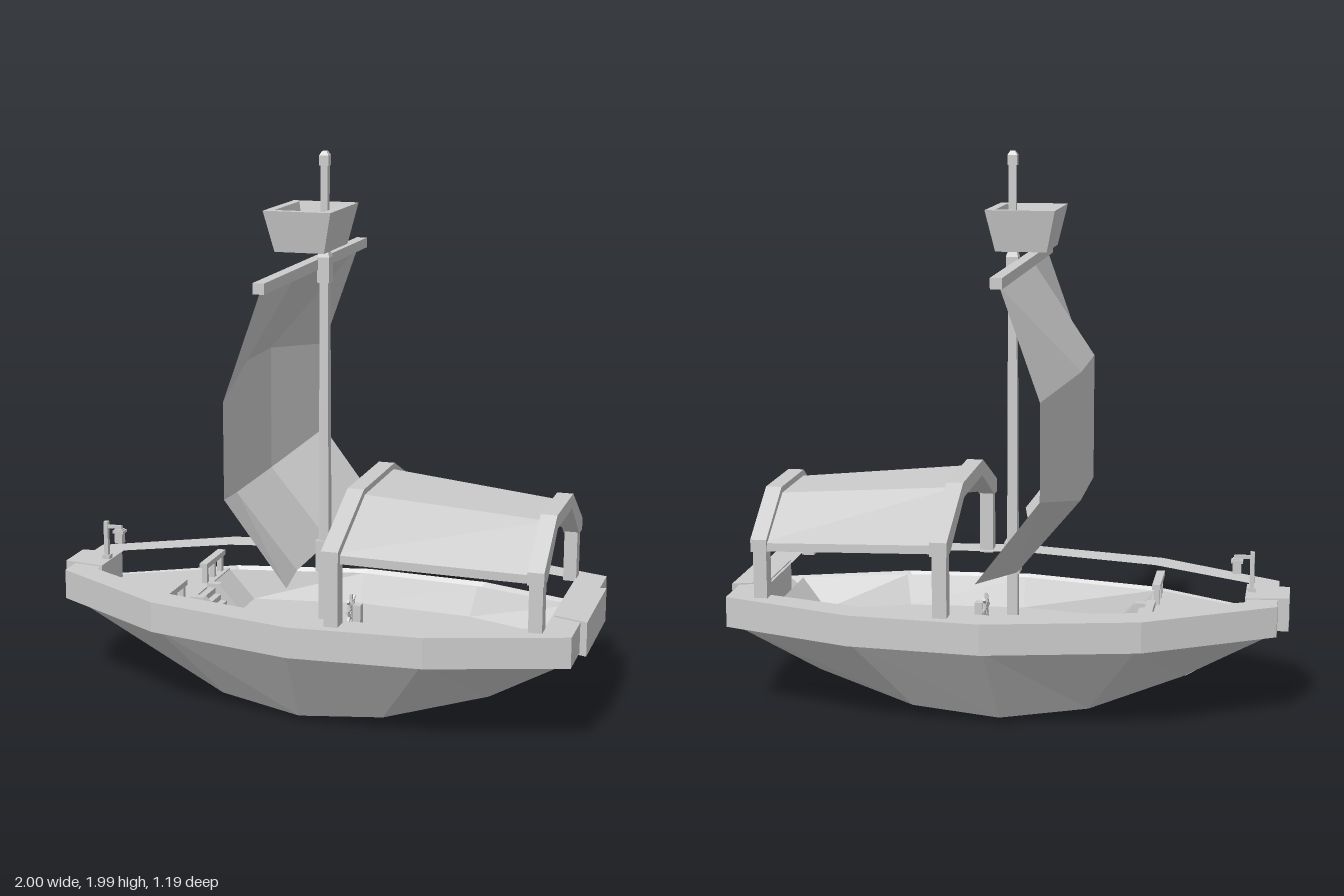
import * as THREE from 'three';

const grey = new THREE.MeshStandardMaterial({ color: 0xcccccc, flatShading: true });
const thin = new THREE.MeshStandardMaterial({ color: 0xcccccc, flatShading: true, side: THREE.DoubleSide });

function add(parent, name, geometry, material = grey) {
  const mesh = new THREE.Mesh(geometry, material);
  mesh.name = name;
  parent.add(mesh);
  return mesh;
}

// Box given by its limits on each axis
function box(parent, name, [x0, x1], [y0, y1], [z0, z1]) {
  const mesh = add(parent, name, new THREE.BoxGeometry(x1 - x0, y1 - y0, z1 - z0));
  mesh.position.set((x0 + x1) / 2, (y0 + y1) / 2, (z0 + z1) / 2);
  return mesh;
}

// Surface joining rows of [x, y, z] points
function loft(rows) {
  const out = [];
  for (let i = 0; i + 1 < rows.length; i++) {
    for (let j = 0; j + 1 < rows[i].length; j++) {
      const a = rows[i][j], b = rows[i + 1][j], c = rows[i + 1][j + 1], d = rows[i][j + 1];
      out.push(...a, ...b, ...c, ...a, ...c, ...d);
    }
  }
  const g = new THREE.BufferGeometry();
  g.setAttribute('position', new THREE.Float32BufferAttribute(out, 3));
  g.computeVertexNormals();
  return g;
}

// Mirror a half outline [along, half width] into a closed loop
const mirrorLoop = half => [...half, ...half.slice().reverse().map(([a, w]) => [a, -w])];
const toShape = pts => new THREE.Shape(pts.map(([a, b]) => new THREE.Vector2(a, b)));

// Plan outline in x and z raised from y0 to y1
function slab(half, y0, y1, holeHalf) {
  const shape = toShape(mirrorLoop(half));
  if (holeHalf) shape.holes.push(toShape(mirrorLoop(holeHalf)));
  return new THREE.ExtrudeGeometry(shape, { depth: y1 - y0, bevelEnabled: false })
    .rotateX(-Math.PI / 2).translate(0, y0, 0);
}

function buildHull(boat) {
  // Cross-sections: top x, top half width, bottom x, bottom y, bottom half width
  const sections = [
    [-0.94, 0.15, -0.63, 0.14, 0.11], [-0.49, 0.41, -0.31, 0.05, 0.25],
    [0.02, 0.52, 0, 0.02, 0.31], [0.49, 0.49, 0.31, 0.05, 0.31], [0.94, 0.34, 0.67, 0.14, 0.23],
  ];
  const rows = sections.map(([tx, tw, bx, by, bw]) =>
    [[tx, 0.32, tw], [bx, by, bw], [bx, by, -bw], [tx, 0.32, -tw]]);
  const endRow = ([tx, tw]) => [[tx, 0.32, tw], [tx, 0.32, tw], [tx, 0.32, -tw], [tx, 0.32, -tw]];
  add(boat, 'hull', loft([endRow(sections[0]), ...rows, endRow(sections[4])]), thin);

  // Keel strip under the hull
  const keel = toShape([[-0.96, 0.32], [-0.64, 0.13], [-0.31, 0.038], [0, 0], [0.31, 0.038], [0.68, 0.13],
    [0.95, 0.32], [0.9, 0.32], [0.66, 0.16], [0.3, 0.07], [0, 0.04], [-0.3, 0.07], [-0.62, 0.16], [-0.9, 0.32]]);
  add(boat, 'keel', new THREE.ExtrudeGeometry(keel, { depth: 0.13, bevelEnabled: false }).translate(0, 0, -0.065));

  // Broad rail with bow and stern blocks
  const inner = [[-0.85, 0.125], [-0.49, 0.32], [0.02, 0.43], [0.48, 0.4], [0.87, 0.29]];
  add(boat, 'rail', slab([[-0.96, 0.17], [-0.51, 0.43], [0.03, 0.543], [0.5, 0.51], [0.975, 0.355]], 0.32, 0.43, inner));
  add(boat, 'bowBlock', slab([[-1, 0.075], [-0.845, 0.095]], 0.315, 0.435));
  add(boat, 'sternBlock', slab([[0.88, 0.16], [1, 0.2]], 0.312, 0.435));

  // Raised foredeck and the sunken main deck with sloping walls
  add(boat, 'foredeck', slab(inner.slice(0, 2), 0.32, 0.335));
  const top = [[-0.49, 0.32], [0.02, 0.43], [0.48, 0.4], [0.87, 0.29]];
  const floor = [[-0.39, 0.32], [0.02, 0.39], [0.46, 0.36], [0.77, 0.25]];
  const well = top.map(([x, w], i) => {
    const [fx, fw] = floor[i];
    return [[x, 0.33, w], [fx, 0.22, fw], [fx, 0.22, -fw], [x, 0.33, -w]];
  });
  const close = ([x, w]) => [[x, 0.33, w], [x, 0.33, w], [x, 0.33, -w], [x, 0.33, -w]];
  add(boat, 'mainDeck', loft([close(top[0]), ...well, close(top[3])]), thin);
}

function buildDeckFittings(boat) {
  // Stairs between the decks
  const stairs = new THREE.Group();
  stairs.name = 'stairs';
  boat.add(stairs);
  for (let i = 0; i < 5; i++) {
    const x = -0.48 + i * 0.023, y = 0.335 - i * 0.023;
    box(stairs, 'step', [x, x + 0.024], [y - 0.02, y], [-0.07, 0.07]);
  }
  for (const s of [-1, 1]) {
    const z = s * 0.085;
    const side = toShape([[-0.49, 0.35], [-0.44, 0.35], [-0.35, 0.25], [-0.35, 0.22], [-0.39, 0.22], [-0.49, 0.32]]);
    add(stairs, 'stairSide', new THREE.ExtrudeGeometry(side, { depth: 0.03, bevelEnabled: false }).translate(0, 0, z - 0.015));

    // Foredeck railing
    box(boat, 'railingBar', [-0.53, -0.5], [0.395, 0.415], [s * 0.2 - 0.1, s * 0.2 + 0.1]);
    for (const w of [0.12, 0.2, 0.28])
      box(boat, 'railingPost', [-0.525, -0.505], [0.33, 0.4], [s * w - 0.01, s * w + 0.01]);
  }

  // Steering wheel on its stand
  const wheel = new THREE.Group();
  wheel.name = 'steeringWheel';
  wheel.position.set(0.1, 0.33, 0);
  wheel.rotation.y = Math.PI / 2;
  boat.add(wheel);
  add(wheel, 'wheelRim', new THREE.TorusGeometry(0.035, 0.006, 4, 8));
  for (let i = 0; i < 4; i++)
    add(wheel, 'spoke', new THREE.BoxGeometry(0.11, 0.009, 0.009)).rotation.z = i * Math.PI / 4;
  box(boat, 'wheelStand', [0.11, 0.14], [0.22, 0.35], [-0.018, 0.018]);

  // Bow lantern hanging from a post
  box(boat, 'lanternFoot', [-0.88, -0.85], [0.43, 0.45], [-0.014, 0.014]);
  box(boat, 'lanternPost', [-0.873, -0.857], [0.43, 0.58], [-0.009, 0.009]);
  box(boat, 'lanternArm', [-0.865, -0.8], [0.555, 0.567], [-0.006, 0.006]);
  box(boat, 'lanternCap', [-0.832, -0.79], [0.54, 0.55], [-0.02, 0.02]);
  box(boat, 'lantern', [-0.826, -0.796], [0.5, 0.555], [-0.015, 0.015]);
}

function buildMast(boat) {
  const pole = (name, r0, r1, y0, y1) => {
    const g = new THREE.CylinderGeometry(r1 * Math.SQRT2, r0 * Math.SQRT2, y1 - y0, 4).rotateY(Math.PI / 4);
    add(boat, name, g.translate(0, (y0 + y1) / 2, 0));
  };
  pole('lowerMast', 0.02, 0.015, 0.22, 1.58);
  pole('mastFoot', 0.028, 0.028, 0.47, 0.585);
  pole('mastCollar', 0.022, 0.022, 1.53, 1.62);
  pole('mastCollarTop', 0.022, 0.014, 1.62, 1.645);
  pole('upperMast', 0.013, 0.013, 1.6, 1.95);
  pole('mastKnob', 0.017, 0.017, 1.94, 1.975);
  pole('mastTip', 0.017, 0.008, 1.975, 1.99);

  // Open lookout basket with flaring sides
  const ring = (y, hx, hz) => [[1, 1], [1, -1], [-1, -1], [-1, 1], [1, 1]].map(([a, b]) => [-0.05 + a * hx, y, b * hz]);
  add(boat, 'lookoutBasket', loft([ring(1.65, 0, 0), ring(1.65, 0.09, 0.14), ring(1.795, 0.122, 0.17),
    ring(1.795, 0.09, 0.138), ring(1.67, 0.068, 0.118), ring(1.67, 0, 0)]), thin);

  box(boat, 'yard', [-0.06, -0.02], [1.575, 1.612], [-0.595, 0.595]);

  // Billowing sail: edge and middle profiles from top to bottom
  const edge = [[-0.045, 1.58], [-0.18, 1.2], [-0.18, 0.865], [0.04, 0.575]];
  const middle = [[-0.045, 1.58], [-0.27, 1.245], [-0.27, 0.79], [-0.045, 0.52]];
  const column = (pts, z) => pts.map(([x, y]) => [x, y, z]);
  add(boat, 'sail', loft([column(edge, -0.56), column(middle, -0.19), column(middle, 0.19), column(edge, 0.56)]), thin);
}

function buildCanopy(boat) {
  // Arched frame on two posts; half profile is [z, y]
  const frame = (name, x0, x1, outer, inner, postZ) => {
    const half = [...outer, ...outer.slice().reverse().map(([z, y]) => [-z, y])];
    const under = [...inner, ...inner.slice().reverse().map(([z, y]) => [-z, y])].reverse();
    const g = new THREE.ExtrudeGeometry(toShape([...half, ...under]), { depth: x1 - x0, bevelEnabled: false });
    add(boat, name + 'Arch', g.rotateY(Math.PI / 2).translate(x0, 0, 0));
    for (const s of [-1, 1])
      box(boat, name + 'Post', [x0 + 0.005, x1 - 0.005], [0.42, outer[0][1] + 0.03], [s * postZ - 0.028, s * postZ + 0.028]);
  };
  frame('forward', 0.145, 0.205, [[0.51, 0.65], [0.51, 0.7], [0.2, 0.84]], [[0.45, 0.65], [0.18, 0.785]], 0.468);
  frame('aft', 0.82, 0.878, [[0.36, 0.6], [0.36, 0.645], [0.15, 0.79]], [[0.3, 0.6], [0.135, 0.74]], 0.32);

  // Sloping roof panels between the arches
  const section = (x, w0, y0, w1, y1) => [[x, y0, w0], [x, y1, w1], [x, y1, -w1], [x, y0, -w0],
    [x, y0 - 0.03, -w0], [x, y1 - 0.03, -w1], [x, y1 - 0.03, w1], [x, y0 - 0.03, w0], [x, y0, w0]];
  add(boat, 'canopyRoof', loft([section(0.17, 0.49, 0.685, 0.19, 0.822), section(0.85, 0.345, 0.63, 0.14, 0.765)]), thin);
}

export function createModel() {
  const boat = new THREE.Group();
  boat.name = 'sailingBoat';
  buildHull(boat);
  buildDeckFittings(boat);
  buildMast(boat);
  buildCanopy(boat);
  return boat;
}
